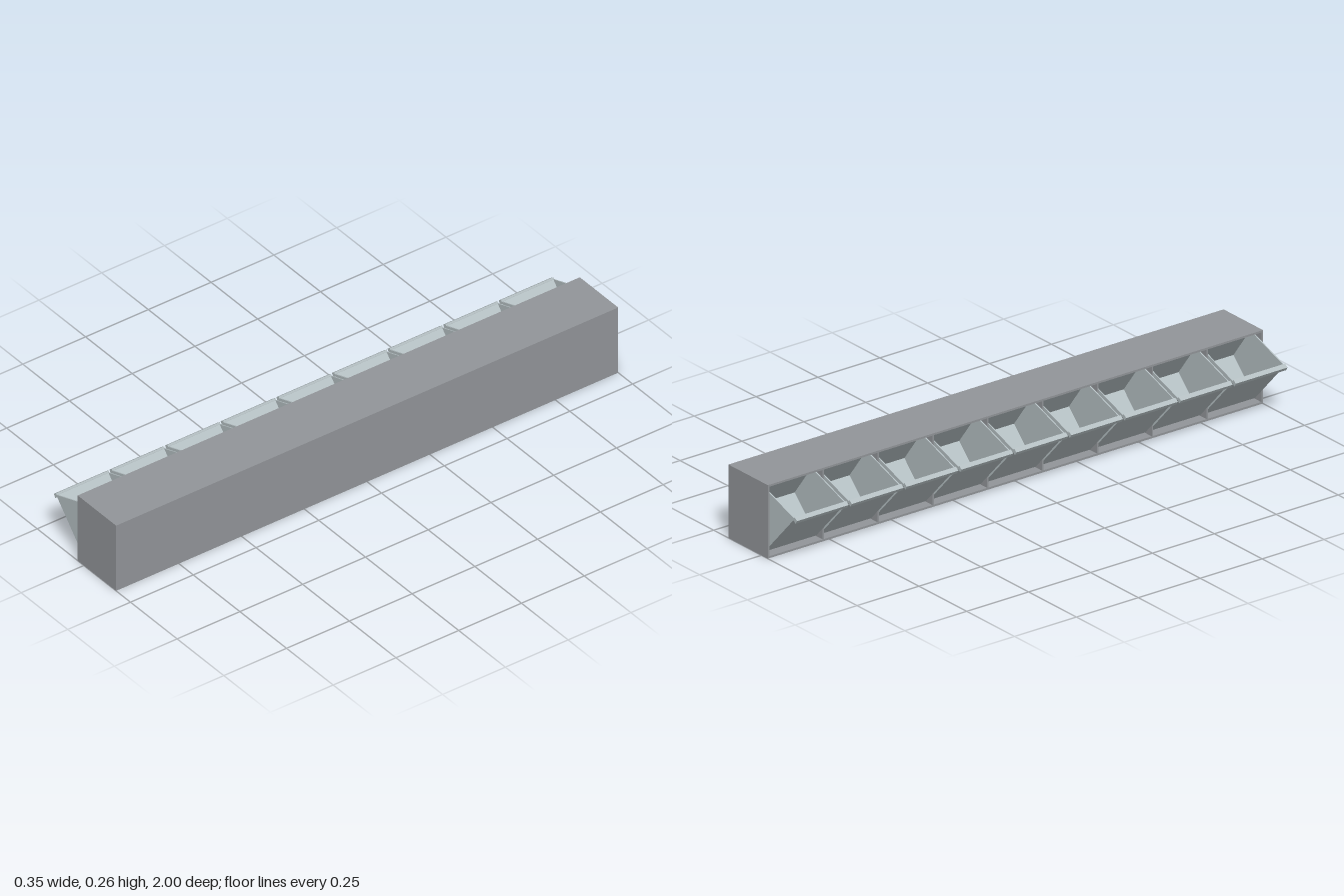
import * as THREE from 'three';

const cabinetGrey = new THREE.MeshStandardMaterial({ color: 0x929599 });
cabinetGrey.name = 'cabinet grey';
const binGrey = new THREE.MeshStandardMaterial({ color: 0xb4bfc2 });
binGrey.name = 'pale bin grey';

const BINS = 9;
const PITCH = 0.2215;
const BIN_WIDTH = 0.209;
const WALL = 0.004;

function box(name, x0, x1, y0, y1, z0, z1) {
  const mesh = new THREE.Mesh(new THREE.BoxGeometry(x1 - x0, y1 - y0, z1 - z0), cabinetGrey);
  mesh.position.set((x0 + x1) / 2, (y0 + y1) / 2, (z0 + z1) / 2);
  mesh.name = name;
  return mesh;
}

// Extrudes an x-y profile along z, starting at z
function slab(name, points, z, depth) {
  const shape = new THREE.Shape(points.map(([x, y]) => new THREE.Vector2(x, y)));
  const mesh = new THREE.Mesh(new THREE.ExtrudeGeometry(shape, { depth, bevelEnabled: false }), binGrey);
  mesh.position.z = z;
  mesh.name = name;
  return mesh;
}

// Open-topped bin, tipped outwards
function createBin() {
  const bin = new THREE.Group();
  bin.name = 'tiltBin';
  const tip = [-0.161, 0.181], pivot = [-0.004, 0.012], back = [0.11, 0.125], top = [0.02, 0.243];
  const half = BIN_WIDTH / 2;
  for (const z of [-half, half - WALL]) {
    bin.add(slab('binSide', [tip, pivot, back, top], z, WALL));
  }
  // Front panel, floor and back as one folded sheet
  bin.add(slab('binShell', [
    tip, pivot, back, top,
    [0.0165, 0.2418], [0.104, 0.1255], [-0.004, 0.018], [-0.156, 0.1825],
  ], -half + WALL, BIN_WIDTH - 2 * WALL));
  // Finger lip along the upper edge
  bin.add(slab('binLip', [
    [-0.174, 0.178], [-0.166, 0.166], [-0.154, 0.175], [-0.161, 0.1875],
  ], -half, BIN_WIDTH));
  return bin;
}

export function createModel() {
  const model = new THREE.Group();
  model.name = 'tiltBinCabinet';

  // Cabinet shell, open on the bin side
  const x0 = -0.033, x1 = 0.173, h = 0.257, t = 0.007, end = 0.007;
  model.add(
    box('topPanel', x0, x1, h - t, h, -1, 1),
    box('bottomPanel', x0, x1, 0, t, -1, 1),
    box('backPanel', x1 - t, x1, t, h - t, -1, 1),
    box('endPanel', x0, x1 - t, t, h - t, 1 - end, 1),
    box('endPanel', x0, x1 - t, t, h - t, -1, -1 + end),
  );

  // Dividers between the bins
  for (let i = 1; i < BINS; i++) {
    const z = (i - BINS / 2) * PITCH;
    model.add(box('divider', x0, x1 - t, t, h - t, z - 0.003, z + 0.003));
  }

  // Row of bins
  for (let i = 0; i < BINS; i++) {
    const bin = createBin();
    bin.position.z = (i - (BINS - 1) / 2) * PITCH;
    model.add(bin);
  }
  return model;
}
